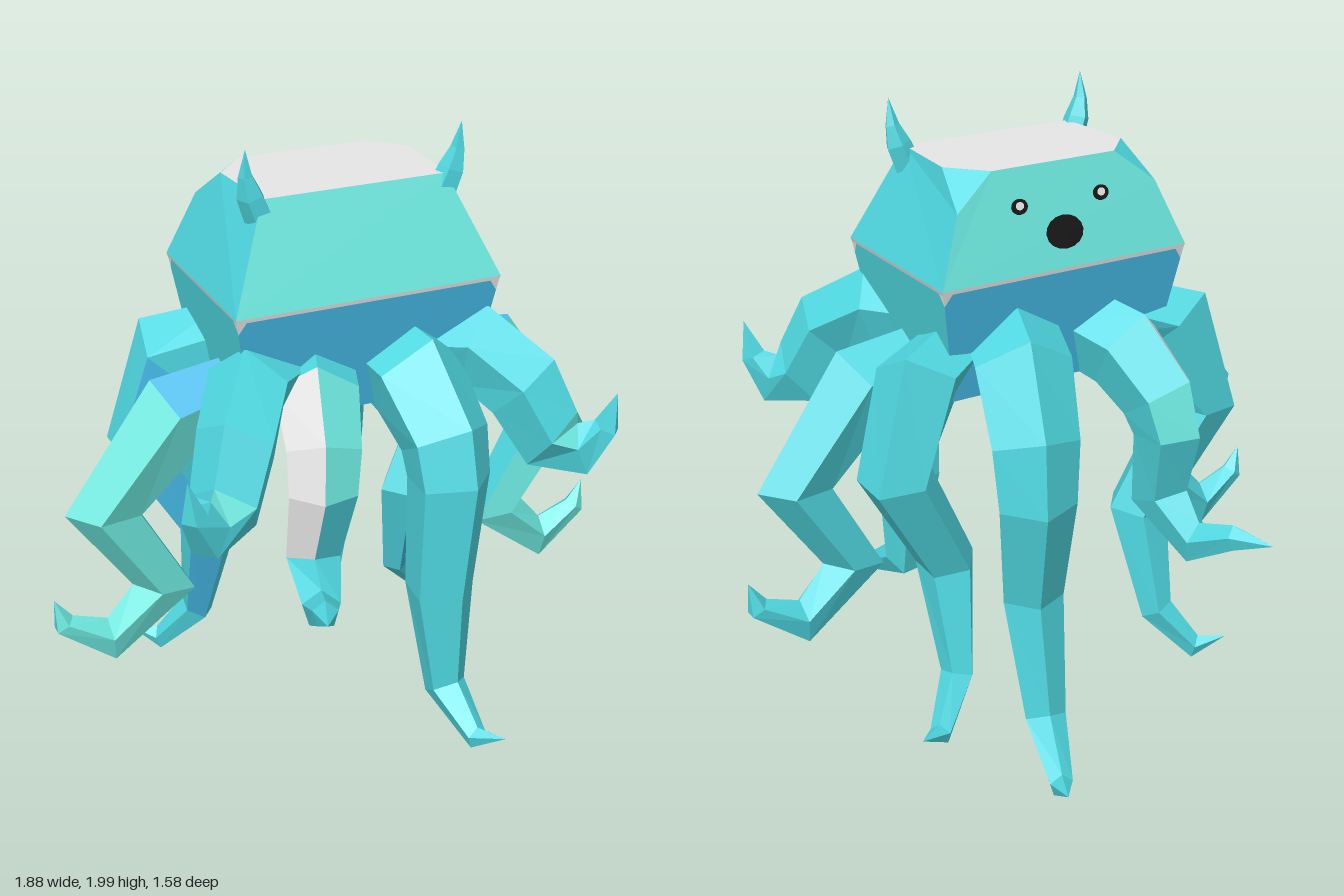
import * as THREE from 'three';

const mat = (name, color) => {
  const m = new THREE.MeshStandardMaterial({ color });
  m.name = name;
  return m;
};

export function createModel() {
  const M = {
    cyan: mat('cyan', 0x4fd7e0), aqua: mat('aqua', 0x6de9df), blue: mat('blue', 0x46bbe8),
    grey: mat('grey', 0xe6e6e6), black: mat('black', 0x161616), white: mat('white', 0xfafafa),
  };
  const model = new THREE.Group();
  model.name = 'octopus';
  const V = (x, y, z) => new THREE.Vector3(x, y, z);

  // Flat-faced mesh from a list of polygons
  function polyMesh(name, material, polys) {
    const pos = [];
    for (const p of polys)
      for (let i = 1; i < p.length - 1; i++)
        for (const v of [p[0], p[i], p[i + 1]]) pos.push(v.x, v.y, v.z);
    const g = new THREE.BufferGeometry();
    g.setAttribute('position', new THREE.Float32BufferAttribute(pos, 3));
    g.computeVertexNormals();
    const mesh = new THREE.Mesh(g, material);
    mesh.name = name;
    return mesh;
  }

  // Turns a polygon of the convex body to face away from its middle
  const middle = V(0, 1.52, 0.03);
  function outward(p) {
    const n = p[1].clone().sub(p[0]).cross(p[2].clone().sub(p[0]));
    return n.dot(p[0].clone().sub(middle)) < 0 ? p.slice().reverse() : p;
  }

  // Five-sided limb along points [x, y, z, radius]; paint(segment, side) picks a colour
  const SIDES = 5;
  function limb(name, pts, paint) {
    const P = pts.map(p => V(p[0], p[1], p[2]));
    const last = P.length - 1;
    const d = P[last].clone().sub(P[0]).setY(0).normalize();
    const s = V(d.z, 0, -d.x);
    const dir = i => P[i + 1].clone().sub(P[i]).normalize();
    const rings = P.map((p, i) => {
      const a = dir(Math.max(i - 1, 0)), b = dir(Math.min(i, last - 1));
      const t = a.clone().add(b).normalize();
      const n = t.clone().cross(s).normalize();
      const mitre = Math.min(1 / Math.max(t.dot(b), 0.1), 1.3);
      return Array.from({ length: SIDES }, (_, k) => {
        const w = (k / SIDES) * Math.PI * 2;
        return p.clone()
          .addScaledVector(n, Math.cos(w) * pts[i][3] * mitre)
          .addScaledVector(s, Math.sin(w) * pts[i][3]);
      });
    });
    const lists = { cyan: [rings[0].slice()] };
    for (let i = 0; i < last; i++)
      for (let k = 0; k < SIDES; k++) {
        const j = (k + 1) % SIDES;
        const key = paint(i, k);
        (lists[key] ??= []).push([rings[i][k], rings[i + 1][k], rings[i + 1][j], rings[i][j]]);
      }
    const group = new THREE.Group();
    group.name = name;
    for (const key in lists) group.add(polyMesh(name + '_' + key, M[key], lists[key]));
    model.add(group);
  }
  const plain = () => 'cyan';

  // Mirrored pair; paint is written for the +x limb
  function limbPair(name, pts, paint) {
    limb(name + 'Left', pts, paint);
    limb(name + 'Right', pts.map(([x, y, z, r]) => [-x, y, z, r]), (i, k) => paint(i, SIDES - 1 - k));
  }

  // Head and lower body: rectangular rings, corners ordered round the body
  const ring = (x, y, zb, zf) => [V(-x, y, zf), V(x, y, zf), V(x, y, zb), V(-x, y, zb)];
  const rimTop = ring(0.422, 1.55, -0.265, 0.32);
  const rimLow = ring(0.418, 1.538, -0.263, 0.318);
  const lower = ring(0.36, 1.18, -0.205, 0.26);
  const body = new THREE.Group();
  body.name = 'body';
  model.add(body);

  const half = m => ({
    front: V(m * 0.29, 1.85, 0.2), side: V(m * 0.31, 1.85, -0.07),
    back: V(m * 0.21, 1.85, -0.18), corner: V(m * 0.34, 1.75, -0.21),
  });
  const L = half(1), R = half(-1);
  body.add(polyMesh('crown', M.grey, [outward([R.front, L.front, L.side, L.back, R.back, R.side])]));
  body.add(polyMesh('headFrontAndBack', M.aqua, [
    outward([rimTop[0], rimTop[1], L.front, R.front]),
    outward([rimTop[2], rimTop[3], R.corner, R.back, L.back, L.corner]),
  ]));
  body.add(polyMesh('headSides', M.cyan, [
    outward([L.front, rimTop[1], rimTop[2], L.corner, L.side]),
    outward([R.front, rimTop[0], rimTop[3], R.corner, R.side]),
    outward([L.side, L.corner, L.back]),
    outward([R.side, R.corner, R.back]),
  ]));

  // Lower walls with clipped top corners, framed by the pale rim
  const rim = [];
  for (let i = 0; i < 4; i++) {
    const j = (i + 1) % 4;
    const [a, b, c, d] = [rimLow[i], rimLow[j], lower[j], lower[i]];
    const cut = i % 2 ? 0.05 : 0.035;
    const a1 = a.clone().lerp(b, cut), a2 = a.clone().lerp(d, 0.1);
    const b1 = b.clone().lerp(a, cut), b2 = b.clone().lerp(c, 0.1);
    rim.push(outward([rimTop[i], rimTop[j], b, a]), outward([a, a1, a2]), outward([b, b1, b2]));
    body.add(polyMesh('lowerWall', i % 2 ? M.cyan : M.blue, [outward([a1, b1, b2, c, d, a2])]));
  }
  body.add(polyMesh('rim', M.grey, rim));
  body.add(polyMesh('base', M.cyan, [outward(lower)]));

  // Face on the sloping back of the head
  const face = new THREE.Group();
  face.name = 'face';
  face.position.set(0, 1.7, -0.2255);
  face.lookAt(0, 1.782, -0.5255);
  model.add(face);
  function disc(name, material, x, y, z, rx, ry) {
    const m = new THREE.Mesh(new THREE.CircleGeometry(1, 16), material);
    m.name = name;
    m.position.set(x, y, z);
    m.scale.set(rx, ry, 1);
    face.add(m);
  }
  disc('mouth', M.black, 0, -0.05, 0.004, 0.064, 0.05);
  for (const m of [-1, 1]) {
    disc('eye', M.black, m * 0.14, 0.044, 0.004, 0.028, 0.023);
    disc('eyeGlint', M.white, m * 0.14, 0.046, 0.007, 0.014, 0.012);
  }

  // Horns
  limbPair('horn', [
    [0.29, 1.79, 0.18, 0.045], [0.318, 1.86, 0.185, 0.04], [0.333, 1.92, 0.19, 0.022], [0.337, 2.0, 0.2, 0],
  ], plain);

  // Side arms
  limbPair('sideArm', [
    [0.28, 1.24, 0.065, 0.1], [0.53, 1.18, 0.07, 0.13], [0.765, 0.89, 0.065, 0.1],
    [0.585, 0.59, 0.06, 0.08], [0.77, 0.43, 0.055, 0.06], [0.915, 0.52, 0.055, 0.035], [0.94, 0.61, 0.055, 0],
  ], (i, k) => (k === 4 && i < 1 ? 'blue' : k >= 3 ? 'aqua' : 'cyan'));

  // Raised front corner arms
  limbPair('frontCornerArm', [
    [0.2, 1.3, 0.14, 0.12], [0.37, 1.32, 0.28, 0.13], [0.46, 1.23, 0.42, 0.125], [0.53, 1.07, 0.49, 0.11],
    [0.61, 1.04, 0.55, 0.07], [0.66, 1.12, 0.585, 0.04], [0.68, 1.235, 0.6, 0],
  ], (i, k) => (k === 4 && i === 3 ? 'aqua' : 'cyan'));

  // Long back corner arms
  limbPair('backCornerArm', [
    [0.24, 1.33, -0.09, 0.11], [0.45, 1.26, -0.17, 0.13], [0.55, 0.97, -0.19, 0.115],
    [0.36, 0.62, -0.14, 0.095], [0.38, 0.27, -0.24, 0.055], [0.49, 0.125, -0.32, 0.035], [0.58, 0.16, -0.37, 0],
  ], (i, k) => (k === 3 && i > 0 && i < 4 ? 'blue' : 'cyan'));

  // Front and back arms: long on the left, short and patched on the right
  limb('frontArmLeft', [
    [0.13, 1.29, 0.19, 0.15], [0.15, 1.27, 0.31, 0.155], [0.18, 1.12, 0.45, 0.14], [0.18, 1.0, 0.49, 0.13],
    [0.165, 0.62, 0.48, 0.11], [0.18, 0.27, 0.51, 0.065], [0.2, 0.18, 0.69, 0.035], [0.25, 0.22, 0.78, 0],
  ], plain);
  limb('backArmLeft', [
    [0.14, 1.33, -0.15, 0.15], [0.18, 1.27, -0.29, 0.155], [0.22, 1.09, -0.42, 0.14], [0.23, 0.92, -0.45, 0.125],
    [0.2, 0.57, -0.38, 0.1], [0.2, 0.17, -0.46, 0.068], [0.25, 0.04, -0.64, 0.038], [0.3, 0.09, -0.755, 0],
  ], (i, k) => (k === 1 && i === 2 ? 'blue' : 'cyan'));
  limb('frontArmRight', [
    [-0.13, 1.28, 0.18, 0.13], [-0.17, 1.26, 0.3, 0.13], [-0.2, 1.14, 0.42, 0.115], [-0.22, 1.03, 0.46, 0.105],
    [-0.235, 0.8, 0.42, 0.085], [-0.27, 0.7, 0.56, 0.06], [-0.31, 0.765, 0.68, 0.04], [-0.35, 0.8, 0.785, 0],
  ], (i, k) => (k === 4 && i > 0 && i < 4 ? 'grey' : k === 0 && (i === 1 || i === 2) ? 'aqua' : 'cyan'));
  limb('backArmRight', [
    [-0.14, 1.3, -0.14, 0.13], [-0.2, 1.26, -0.28, 0.135], [-0.24, 1.14, -0.41, 0.12], [-0.25, 1.03, -0.45, 0.105],
    [-0.265, 0.8, -0.4, 0.085], [-0.3, 0.68, -0.54, 0.06], [-0.35, 0.74, -0.67, 0.04], [-0.4, 0.75, -0.79, 0],
  ], (i, k) => (k === 0 && i > 0 && i < 4 ? 'grey' : k === 4 && i === 2 ? 'aqua' : 'cyan'));

  return model;
}
